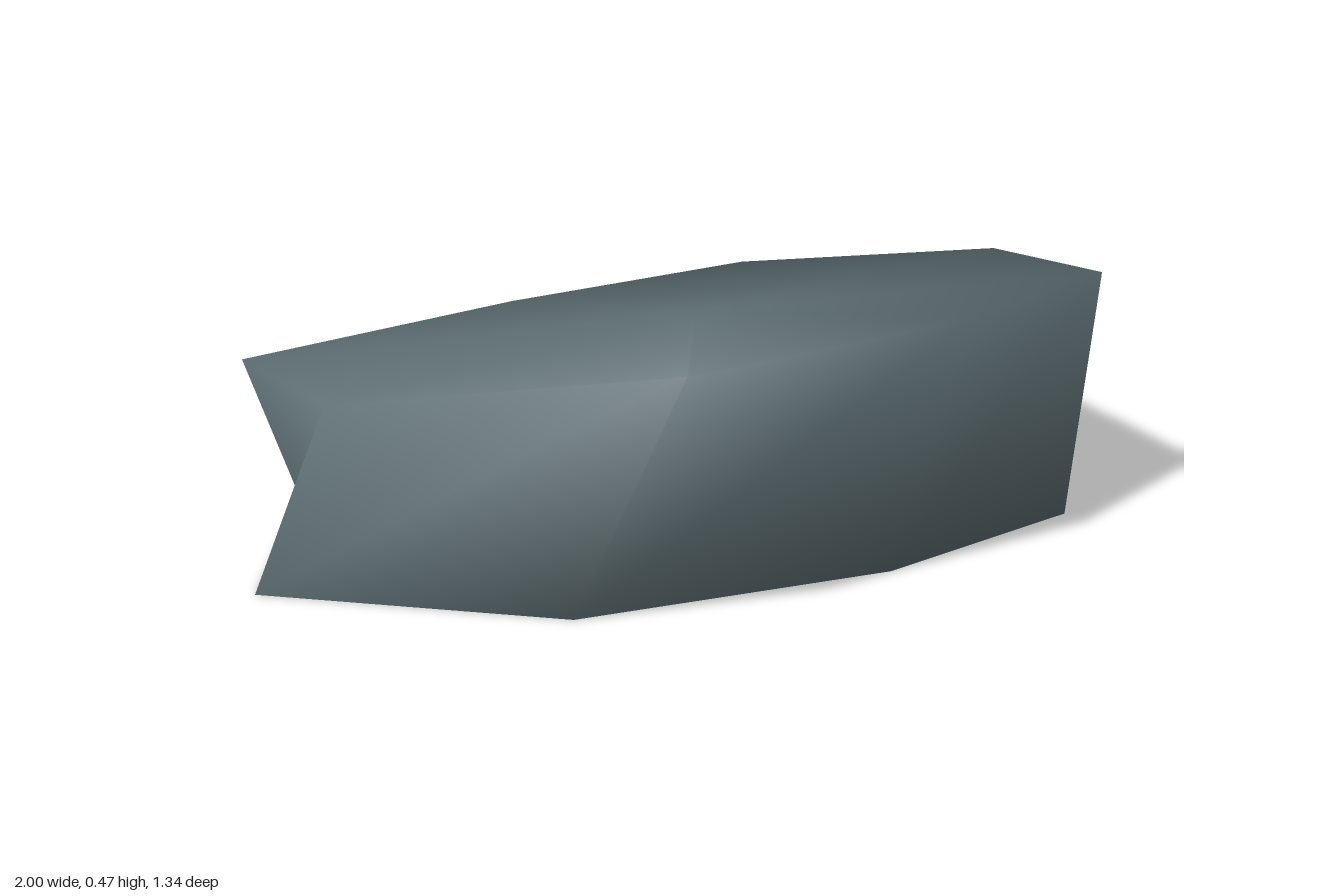
import * as THREE from 'three';

// Rim of the rock's top face, going round from the back: x, y, z
const TOP = [
  [0.59, 0.36, -0.67], [1.0, 0.41, -0.26], [0.78, 0.467, 0.34], [0.22, 0.474, 0.59],
  [-0.48, 0.463, 0.67], [-0.99, 0.41, 0.30], [-0.81, 0.346, -0.40], [-0.06, 0.346, -0.62],
];
// Footprint on the ground, slightly twisted against the top: x, y, z
const BASE = [
  [0.63, 0, -0.49], [0.97, 0, -0.05], [0.61, 0, 0.435], [0.06, 0, 0.563],
  [-0.60, 0, 0.485], [-1.0, 0, 0.02], [-0.625, 0, -0.53], [0.06, 0, -0.615],
];

// Eight-sided shell, open underneath, with normals shared between top and sides
function rockGeometry() {
  const n = TOP.length;
  const centre = 2 * n;
  const points = [...TOP, ...BASE, [0, 0.415, 0]];
  const index = [];
  for (let i = 0; i < n; i++) {
    const j = (i + 1) % n;
    index.push(centre, j, i); // top face
    index.push(i, j, n + j, i, n + j, n + i); // side facet
  }
  const geometry = new THREE.BufferGeometry();
  geometry.setAttribute('position', new THREE.Float32BufferAttribute(points.flat(), 3));
  geometry.setIndex(index);
  geometry.computeVertexNormals();
  return geometry;
}

export function createModel() {
  const group = new THREE.Group();
  group.name = 'flatRock';

  const stone = new THREE.MeshStandardMaterial({ color: 0x5f7075, side: THREE.DoubleSide });
  stone.name = 'slate grey stone';

  const rock = new THREE.Mesh(rockGeometry(), stone);
  rock.name = 'rockShell';
  group.add(rock);
  return group;
}
